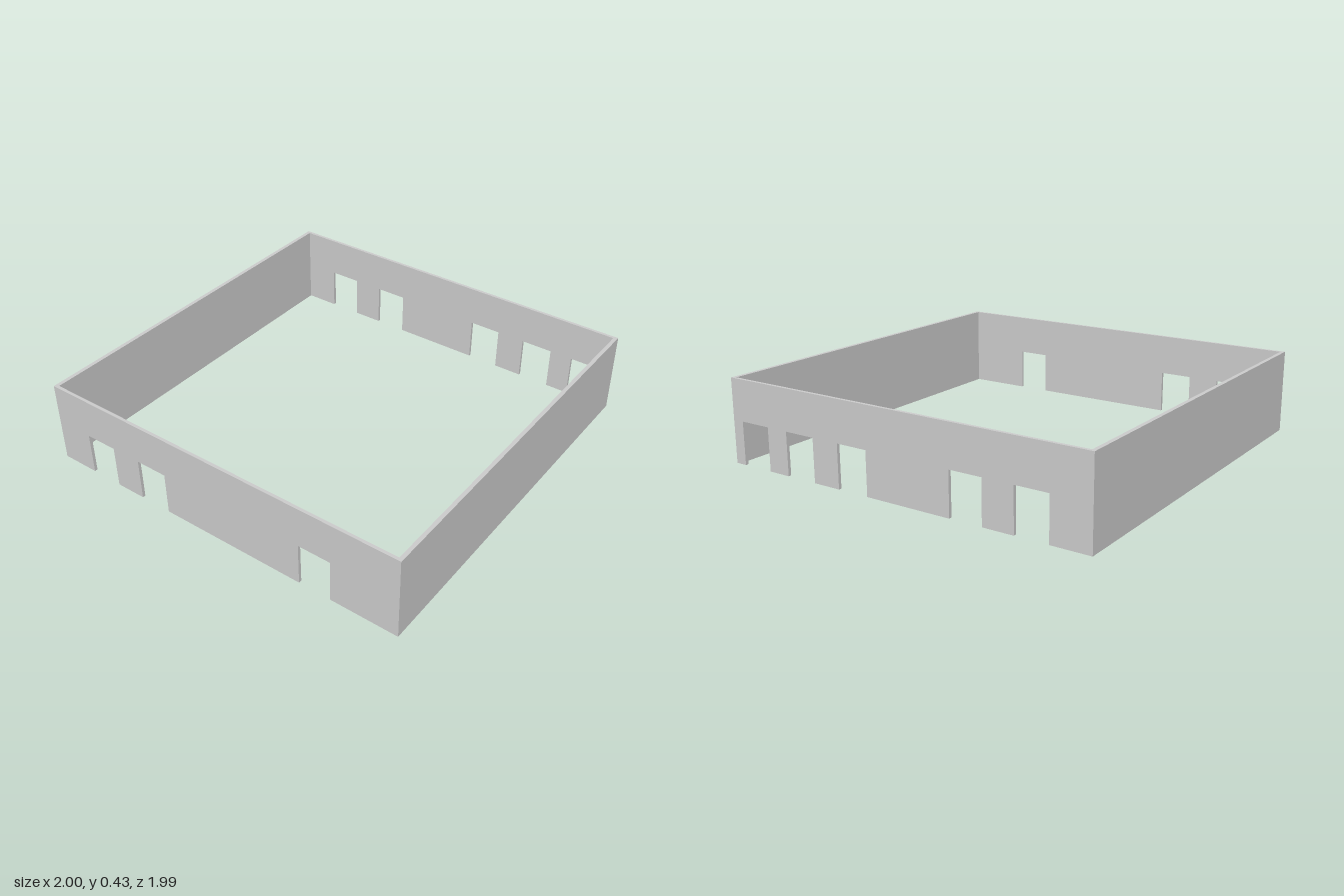
import * as THREE from 'three';

const W = 2, D = 1.99, H = 0.43;         // overall width, depth, height
const SIDE_T = 0.02, END_T = 0.016;      // wall thicknesses
const DOOR_W = 0.17, DOOR_H = 0.22;

// Wall with doorways cut up from the floor, given the doorways' centres in x
function doorwayWall(centres) {
  const s = new THREE.Shape();
  s.moveTo(-W / 2, 0);
  for (const c of centres) {
    const a = c - DOOR_W / 2, b = c + DOOR_W / 2;
    s.lineTo(a, 0);
    s.lineTo(a, DOOR_H);
    s.lineTo(b, DOOR_H);
    s.lineTo(b, 0);
  }
  s.lineTo(W / 2, 0);
  s.lineTo(W / 2, H);
  s.lineTo(-W / 2, H);
  s.closePath();
  return new THREE.ExtrudeGeometry(s, { depth: END_T, bevelEnabled: false });
}

export function createModel() {
  const group = new THREE.Group();
  const material = new THREE.MeshStandardMaterial({ color: 0xcccccc });
  const add = (name, geometry, x, y, z) => {
    const mesh = new THREE.Mesh(geometry, material);
    mesh.name = name;
    mesh.position.set(x, y, z);
    group.add(mesh);
  };

  // Front and back walls with doorways
  add('frontWall', doorwayWall([-0.715, -0.385, 0.565]), 0, 0, D / 2 - END_T);
  add('backWall', doorwayWall([-0.715, -0.385, 0.245, 0.565, 0.855]), 0, 0, -D / 2);

  // Plain side walls fitted between them
  for (const [name, side] of [['leftWall', 1], ['rightWall', -1]]) {
    add(name, new THREE.BoxGeometry(SIDE_T, H, D - 2 * END_T), side * (W - SIDE_T) / 2, H / 2, 0);
  }
  return group;
}
